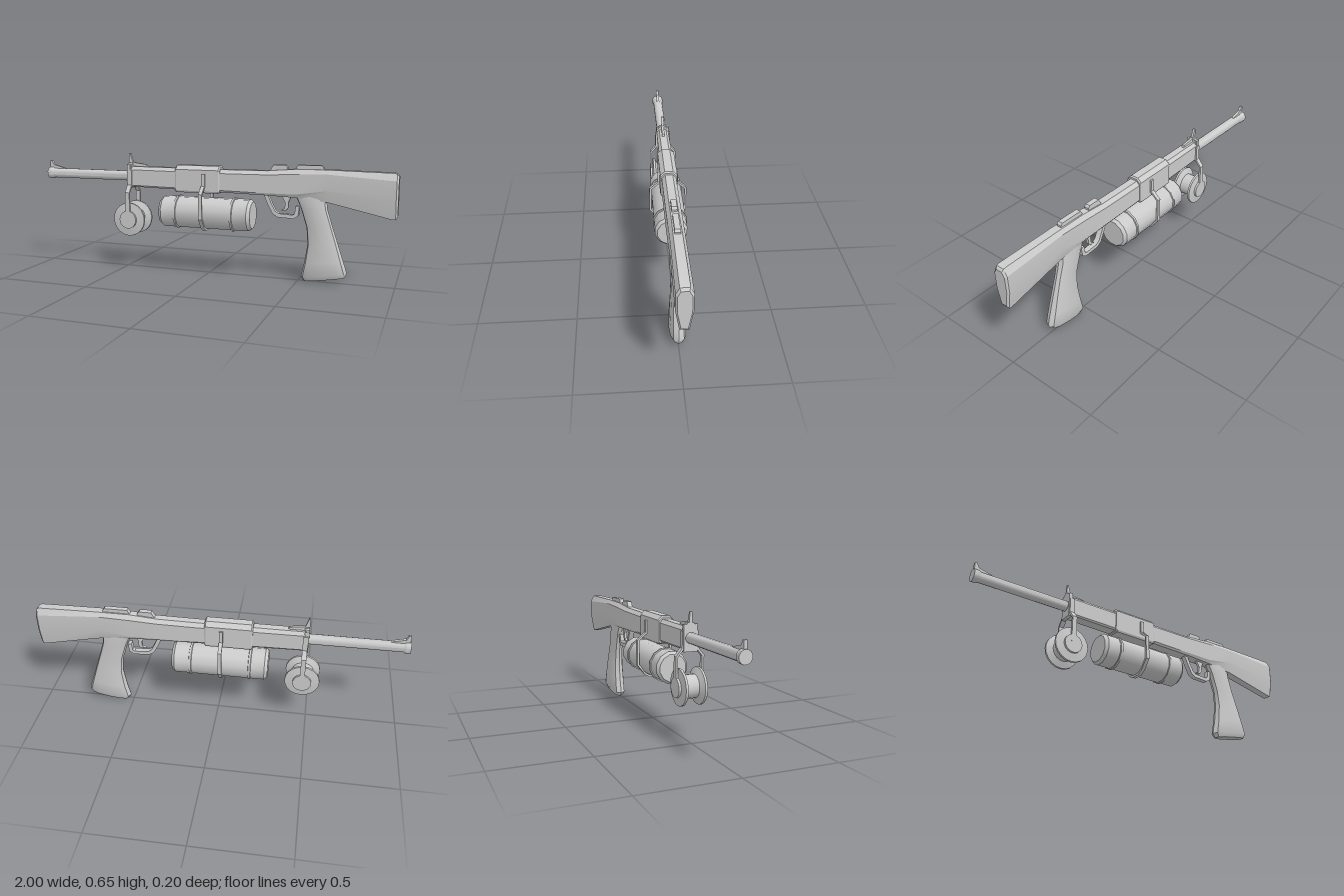
import * as THREE from 'three';
import { toCreasedNormals } from 'three/addons/utils/BufferGeometryUtils.js';

const V3 = (x, y, z) => new THREE.Vector3(x, y, z);

// Skin a list of equal-length rings and cap both ends.
function loft(rings) {
  const pos = [], n = rings[0].length;
  const tri = (...p) => p.forEach((v) => pos.push(v.x, v.y, v.z));
  for (let i = 0; i < rings.length - 1; i++) {
    for (let j = 0; j < n; j++) {
      const k = (j + 1) % n, a = rings[i], b = rings[i + 1];
      tri(a[j], a[k], b[j]);
      tri(a[k], b[k], b[j]);
    }
  }
  const middle = (r) => r.reduce((s, v) => s.add(v), V3(0, 0, 0)).divideScalar(n);
  const first = rings[0], last = rings[rings.length - 1];
  for (let j = 0; j < n; j++) {
    const k = (j + 1) % n;
    tri(middle(first), first[k], first[j]);
    tri(middle(last), last[j], last[k]);
  }
  const g = new THREE.BufferGeometry();
  g.setAttribute('position', new THREE.Float32BufferAttribute(pos, 3));
  return g;
}

// Flat outline extruded symmetrically along z.
function plate(points, depth) {
  const shape = new THREE.Shape(points.map(([x, y]) => new THREE.Vector2(x, y)));
  return new THREE.ExtrudeGeometry(shape, { depth, bevelEnabled: false }).translate(0, 0, -depth / 2);
}

// Bent bar of constant thickness along a 2D path.
function ribbon(path, thick, depth) {
  const P = path.map(([x, y]) => new THREE.Vector2(x, y));
  const side = (s) => P.map((p, i) => {
    const a = P[Math.max(i - 1, 0)], b = P[Math.min(i + 1, P.length - 1)];
    const d1 = (i ? p.clone().sub(a) : b.clone().sub(p)).normalize();
    const d2 = (i < P.length - 1 ? b.clone().sub(p) : d1.clone()).normalize();
    const t = d1.clone().add(d2).normalize();
    const w = (s * thick) / 2 / Math.max(t.dot(d1), 0.5);
    return [p.x - t.y * w, p.y + t.x * w];
  });
  return plate([...side(1), ...side(-1).reverse()], depth);
}

// Chamfered cross-section of the body at x.
function section(x, top, bottom, w, topW, chamferTop, chamferBottom, bottomW) {
  const half = [[top, topW], [chamferTop, w], [chamferBottom, w], [bottom, bottomW]];
  return [...half.map(([y, z]) => V3(x, y, z)), ...half.reverse().map(([y, z]) => V3(x, y, -z))];
}

// Turned shape along x from [x, radius] pairs.
function turned(profile, sides) {
  const g = new THREE.LatheGeometry(profile.map(([x, r]) => new THREE.Vector2(r, x)), sides);
  return g.rotateY(Math.PI / sides).rotateZ(-Math.PI / 2);
}

export function createModel() {
  const model = new THREE.Group();
  const material = new THREE.MeshStandardMaterial({ color: 0xcccccc, side: THREE.DoubleSide });
  const add = (name, geometry, crease = 0.6) => {
    const mesh = new THREE.Mesh(toCreasedNormals(geometry, crease), material);
    mesh.name = name;
    model.add(mesh);
    return mesh;
  };

  // Barrel with a thicker muzzle ring
  add('barrel', turned([
    [-1, 0], [-1, 0.034], [-0.975, 0.034], [-0.965, 0.028], [-0.44, 0.028], [-0.44, 0],
  ], 12)).position.y = 0.525;

  // Receiver running back into the flared stock
  add('bodyAndStock', loft([
    section(-0.465, 0.58, 0.467, 0.034, 0.02, 0.562, 0.475, 0.028),
    section(0.1, 0.58, 0.457, 0.038, 0.02, 0.56, 0.468, 0.03),
    section(0.33, 0.582, 0.453, 0.038, 0.02, 0.562, 0.465, 0.03),
    section(0.48, 0.595, 0.447, 0.038, 0.02, 0.57, 0.465, 0.028),
    section(0.65, 0.597, 0.43, 0.037, 0.022, 0.575, 0.49, 0.026),
    section(0.975, 0.592, 0.358, 0.04, 0.023, 0.555, 0.46, 0.022),
    section(0.99, 0.588, 0.358, 0.04, 0.022, 0.553, 0.46, 0.022),
    section(1, 0.575, 0.375, 0.032, 0.018, 0.548, 0.462, 0.016),
  ]), 0.35);

  // Raised sleeve around the receiver
  add('sleeve', loft([
    section(-0.187, 0.59, 0.455, 0.041, 0.02, 0.57, 0.465, 0.036),
    section(-0.18, 0.597, 0.45, 0.045, 0.022, 0.575, 0.46, 0.04),
    section(0.063, 0.597, 0.45, 0.045, 0.022, 0.575, 0.46, 0.04),
    section(0.07, 0.59, 0.455, 0.041, 0.02, 0.57, 0.465, 0.036),
  ]), 0.35);

  // Sights, front collar and low top rails
  add('frontSight', plate([
    [-0.995, 0.55], [-0.995, 0.597], [-0.983, 0.597], [-0.972, 0.573], [-0.9, 0.555], [-0.9, 0.545],
  ], 0.016));
  add('rearSight', plate([
    [-0.48, 0.57], [-0.48, 0.653], [-0.473, 0.653], [-0.457, 0.605], [-0.44, 0.6],
    [-0.375, 0.592], [-0.365, 0.575],
  ], 0.014));
  add('collar', new THREE.BoxGeometry(0.02, 0.135, 0.072).translate(-0.47, 0.525, 0));
  add('collarTop', loft([
    section(-0.48, 0.6, 0.56, 0.03, 0.016, 0.58, 0.565, 0.03),
    section(-0.455, 0.6, 0.56, 0.03, 0.016, 0.58, 0.565, 0.03),
  ]));
  for (const [start, end, top] of [[0.34, 0.435, 0.614], [0.47, 0.625, 0.617]]) {
    add('topRail', plate([
      [start, 0.58], [start + 0.02, top], [end - 0.01, top], [end, top - 0.012], [end, 0.58],
    ], 0.028));
  }

  // Grip: [front x, front y, back x, back y, half width]
  const gripLevels = [
    [0.475, 0.465, 0.64, 0.455, 0.03],
    [0.508, 0.39, 0.648, 0.39, 0.034],
    [0.54, 0.29, 0.673, 0.31, 0.031],
    [0.547, 0.2, 0.705, 0.215, 0.036],
    [0.532, 0.1, 0.735, 0.125, 0.041],
    [0.515, 0.025, 0.757, 0.06, 0.042],
    [0.53, 0.002, 0.747, 0.036, 0.03],
  ];
  add('grip', loft(gripLevels.map(([fx, fy, bx, by, w]) => {
    const ring = [];
    for (let j = 0; j < 12; j++) {
      const a = (j / 12) * Math.PI * 2;
      const c = Math.sign(Math.cos(a)) * Math.abs(Math.cos(a)) ** 0.8;
      const s = Math.sign(Math.sin(a)) * Math.abs(Math.sin(a)) ** 0.7;
      const t = (c + 1) / 2;
      ring.push(V3(fx + (bx - fx) * t, fy + (by - fy) * t, s * w));
    }
    return ring;
  })), 0.65);

  // Trigger and guard
  add('triggerGuard', ribbon([
    [0.318, 0.46], [0.34, 0.41], [0.365, 0.362], [0.39, 0.347], [0.47, 0.343], [0.487, 0.355], [0.492, 0.4],
  ], 0.02, 0.03));
  add('trigger', plate([
    [0.4, 0.46], [0.425, 0.415], [0.422, 0.385], [0.402, 0.375], [0.428, 0.373], [0.443, 0.39],
    [0.443, 0.42], [0.46, 0.46],
  ], 0.016));

  // Gas canister with chamfered ends and two raised rings
  add('canister', turned([
    [-0.275, 0], [-0.275, 0.074], [-0.258, 0.087], [-0.185, 0.087], [-0.183, 0.093], [-0.172, 0.093],
    [-0.17, 0.087], [0.137, 0.087], [0.139, 0.093], [0.15, 0.093], [0.152, 0.087], [0.232, 0.087],
    [0.248, 0.074], [0.248, 0],
  ], 12)).position.y = 0.337;

  // Strap hanging the canister below the sleeve
  const half = [[0.049, 0.555], [0.049, 0.487], [0.095, 0.447], [0.095, 0.315], [0.052, 0.261], [0.025, 0.247]];
  const loop = [...half, ...half.map(([z, y]) => [-z, y]).reverse()];
  add('canisterStrap', ribbon(loop, 0.011, 0.02).rotateY(-Math.PI / 2).translate(-0.02, 0, 0));

  // Spool and its two hanger arms
  const spool = [
    [0, 0.075], [0.05, 0.075], [0.05, 0.063], [0.094, 0.057], [0.094, 0.045], [0.06, 0.03],
  ];
  const spoolProfile = [...spool, ...spool.map(([r, z]) => [r, -z]).reverse()].reverse();
  add('spool', new THREE.LatheGeometry(spoolProfile.map(([r, z]) => new THREE.Vector2(r, z)), 20)
    .rotateX(Math.PI / 2).translate(-0.463, 0.283, 0));
  for (const s of [1, -1]) {
    const arm = [[0.036, 0.56], [0.038, 0.475], [0.07, 0.435], [0.07, 0.285]].map(([z, y]) => [s * z, y]);
    add('spoolArm', ribbon(arm, 0.011, 0.026).rotateY(-Math.PI / 2).translate(-0.463, 0, 0));
  }

  return model;
}
